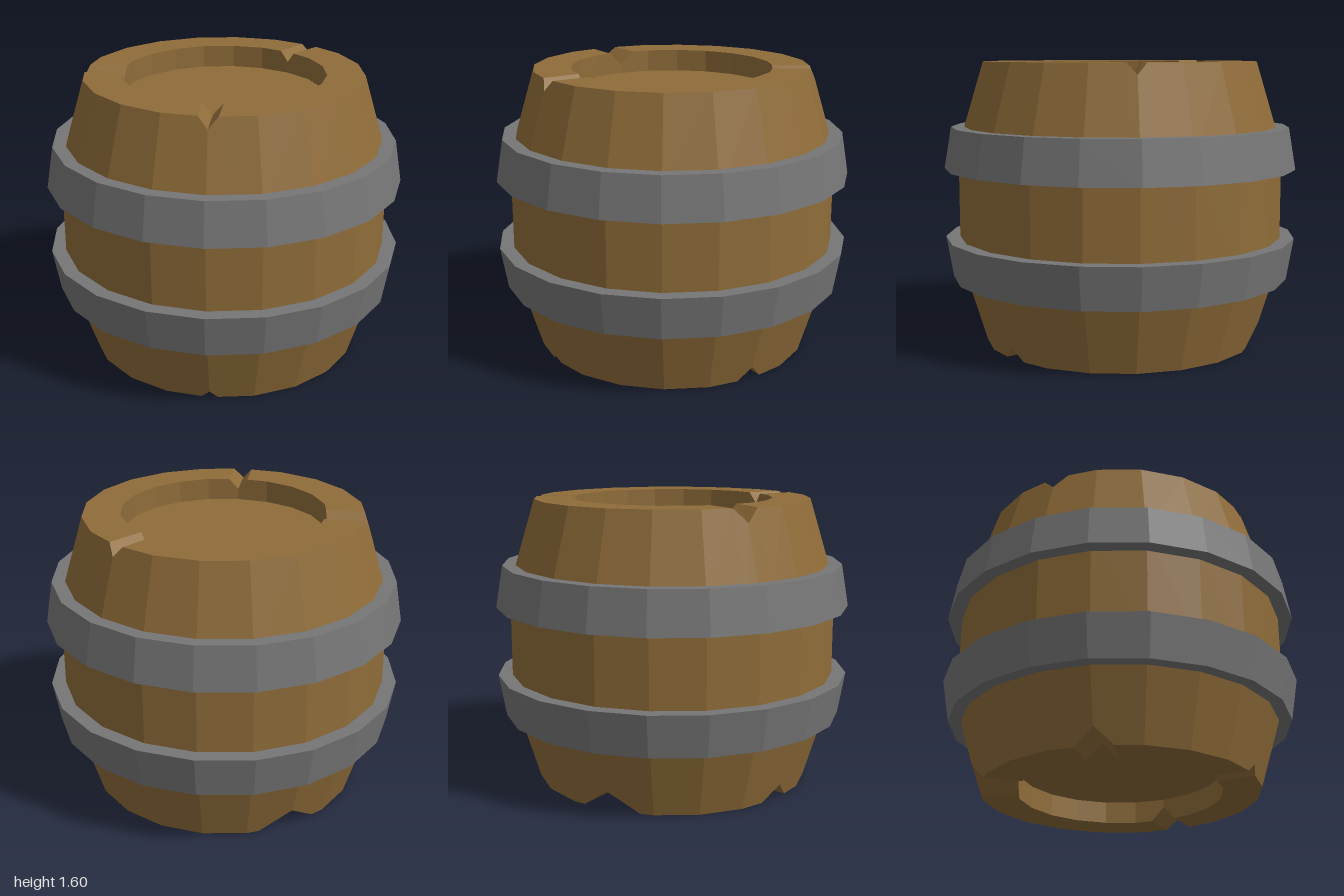
import * as THREE from 'three';

const SIDES = 20;
const SHOULDER = { r: 0.92, y: 0.48 };   // height measured from each end
const RIM_R = 0.775, INNER_R = 0.565, RECESS = 0.125, HEIGHT = 1.6;
const SLOPE = (SHOULDER.r - RIM_R) / SHOULDER.y;

const wood = new THREE.MeshStandardMaterial({ color: 0x8f6c39, flatShading: true });
wood.name = 'wood';
const iron = new THREE.MeshStandardMaterial({ color: 0x767676, flatShading: true });
iron.name = 'iron';

// Corner of the polygon with a given radius
function corner(k, r, y) {
  const a = (k / SIDES) * Math.PI * 2;
  return new THREE.Vector3(r * Math.sin(a), y, r * Math.cos(a));
}

// One end of the barrel: sloping staves, chipped rim and sunken lid.
// notches: corner index -> [half width outside, half width inside, depth]
function endGeometry(top, notches) {
  const stations = [];
  for (let k = 0; k < SIDES; k++) {
    const n = notches[k];
    if (n) stations.push({ k, side: -1, n });
    stations.push({ k, side: 0, n });
    if (n) stations.push({ k, side: 1, n });
  }
  // d is the distance in from the end plane
  const ring = (r, d, widthIndex, cut, slope) => stations.map(({ k, side, n }) => {
    const depth = cut && n && side === 0 ? n[2] : 0;
    const y = top ? HEIGHT - d - depth : d + depth;
    const p = corner(k, r + slope * depth, y);
    if (side) {
      const edge = 2 * r * Math.sin(Math.PI / SIDES);
      if (edge > 0) p.lerp(corner(k + side, r, y), n[widthIndex] / edge);
    }
    return p;
  });
  const rings = [
    ring(SHOULDER.r, SHOULDER.y, 0, false, 0),
    ring(RIM_R, 0, 0, true, SLOPE),
    ring(INNER_R, 0, 1, true, 0),
    ring(INNER_R, RECESS, 1, false, 0),
    ring(0, RECESS, 1, false, 0),
  ];
  const pos = [];
  const tri = (a, b, c) => (top ? [a, b, c] : [a, c, b]).forEach(p => pos.push(p.x, p.y, p.z));
  for (let s = 0; s < rings.length - 1; s++) {
    const A = rings[s], B = rings[s + 1];
    for (let i = 0; i < stations.length; i++) {
      const j = (i + 1) % stations.length;
      tri(A[i], A[j], B[j]);
      if (s < rings.length - 2) tri(A[i], B[j], B[i]);
    }
  }
  const g = new THREE.BufferGeometry();
  g.setAttribute('position', new THREE.Float32BufferAttribute(pos, 3));
  g.computeVertexNormals();
  return g;
}

function lathe(points) {
  return new THREE.LatheGeometry(points.map(([r, y]) => new THREE.Vector2(r, y)), SIDES);
}

export function createModel() {
  const barrel = new THREE.Group();
  barrel.name = 'barrel';
  const add = (name, geometry, material) => {
    const mesh = new THREE.Mesh(geometry, material);
    mesh.name = name;
    barrel.add(mesh);
  };

  // Wooden body
  add('topEnd', endGeometry(true, {
    1: [0.052, 0.056, 0.06],
    9: [0.052, 0.048, 0.06],
    16: [0.075, 0.08, 0.075],
  }), wood);
  add('bottomEnd', endGeometry(false, {
    1: [0.045, 0.045, 0.045],
    6: [0.075, 0.075, 0.08],
    13: [0.17, 0.14, 0.12],
    17: [0.1, 0.09, 0.09],
  }), wood);
  add('middleStaves', lathe([
    [SHOULDER.r, SHOULDER.y], [SHOULDER.r, HEIGHT - SHOULDER.y],
  ]), wood);

  // Iron hoops, widest towards the middle of the barrel
  add('lowerHoop', lathe([
    [0.87, 0.375], [0.96, 0.375], [1, 0.61], [0.87, 0.61],
  ]), iron);
  add('upperHoop', lathe([
    [0.87, 1.0], [1, 1.0], [0.96, 1.235], [0.87, 1.235],
  ]), iron);

  return barrel;
}
